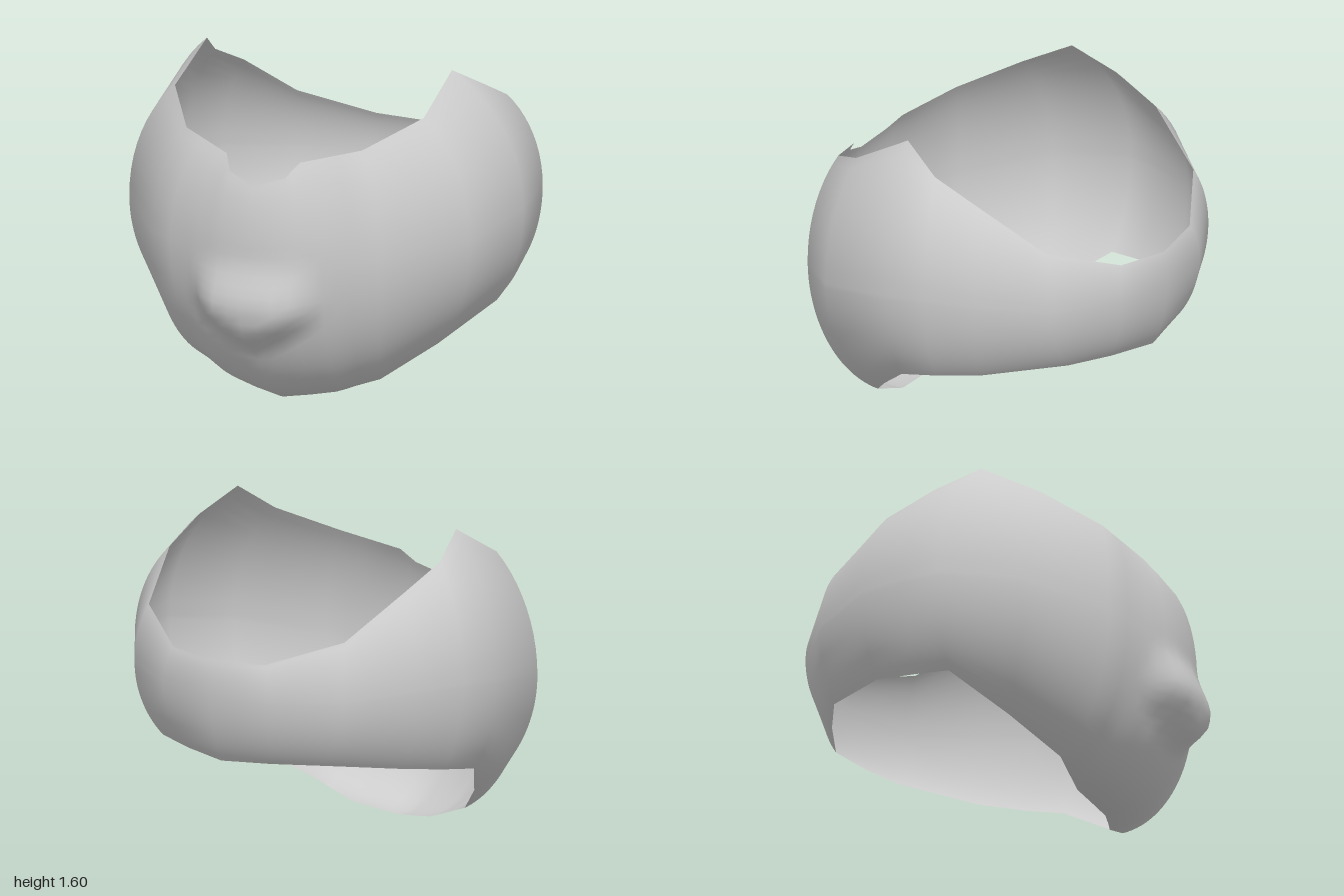
import * as THREE from 'three';

const { smoothstep, clamp, lerp } = THREE.MathUtils;

// Horizontal rails of the left half, running from front centre round to back centre
const topRim = [[0, 1.11, .84], [.15, 1.16, .8], [.2, 1.23, .74], [.48, 1.3, .63], [.68, 1.43, .38], [.67, 1.6, .08],
  [.74, 1.49, -.13], [.72, 1.385, -.38], [.6, 1.18, -.69], [.28, 1.06, -.9], [0, 1.04, -.95]];
const widestLine = [[0, .73, .905], [.16, .73, .89], [.31, .75, .84], [.62, .78, .71], [.93, .86, .38], [1, .93, -.03],
  [.95, .94, -.22], [.87, .94, -.46], [.64, .9, -.75], [.32, .89, -.93], [0, .89, -.97]];
const bottomRim = [[0, 0, .48], [.13, .02, .45], [.24, .04, .42], [.46, .12, .41], [.67, .28, .22], [.86, .465, -.02],
  [.82, .49, -.2], [.75, .525, -.42], [.48, .56, -.73], [.25, .55, -.82], [0, .54, -.885]];

const UPPER_ROWS = 10;
const LOWER_ROWS = 24;
const STRIDE = UPPER_ROWS + LOWER_ROWS + 1;

// Point on a rail at a fractional column position
function railPoint(rail, u) {
  const i = Math.min(Math.floor(u), rail.length - 2);
  return new THREE.Vector3(...rail[i]).lerp(new THREE.Vector3(...rail[i + 1]), u - i);
}

// Elliptical arc that leaves the widest line vertically and ends at a rim
function arcPoint(mid, rim, t, sweep) {
  const inward = (1 - Math.cos(sweep * t)) / (1 - Math.cos(sweep));
  const p = mid.clone().lerp(rim, inward);
  p.y = lerp(mid.y, rim.y, Math.sin(sweep * t) / Math.sin(sweep));
  return p;
}

// Raised pad on the front, with a steep, curved underside
function addFrontPad(p) {
  if (p.z < .4) return p;
  const x = Math.abs(p.x);
  const low = .27 + .18 * Math.pow(x / .33, 1.4);
  const rise = smoothstep(p.y, low, low + .13);
  const fade = 1 - smoothstep(p.y, .5, .77);
  p.z += .09 * rise * fade * (1 - smoothstep(x, .2, .36));
  return p;
}

// Vertical section from top rim to bottom rim; the chin curls under more than the sides
function section(u) {
  const [top, mid, bottom] = [topRim, widestLine, bottomRim].map(rail => railPoint(rail, u));
  const lowerSweep = Math.asin(lerp(.8, 1, clamp(mid.z / .8, 0, 1)));
  const points = [];
  for (let j = UPPER_ROWS; j > 0; j--) points.push(arcPoint(mid, top, j / UPPER_ROWS, Math.asin(.8)));
  for (let j = 0; j <= LOWER_ROWS; j++) points.push(arcPoint(mid, bottom, j / LOWER_ROWS, lowerSweep));
  return points.map(addFrontPad);
}

function shellGeometry() {
  // Extra columns only across the front pad
  const stops = [0, .5, 1, 1.5, 2, 2.17, 2.34, 2.6, 3, 4, 5, 6, 7, 8, 9, 10];
  const half = stops.map(section);
  const mirrored = half.slice(1, -1).reverse()
    .map(column => column.map(p => new THREE.Vector3(-p.x, p.y, p.z)));
  const columns = [...half, ...mirrored];
  const index = [];
  for (let i = 0; i < columns.length; i++) {
    const a = i * STRIDE;
    const b = ((i + 1) % columns.length) * STRIDE;
    for (let j = 0; j < STRIDE - 1; j++) {
      index.push(a + j, a + j + 1, b + j, b + j, a + j + 1, b + j + 1);
    }
  }
  const geometry = new THREE.BufferGeometry().setFromPoints(columns.flat());
  geometry.setIndex(index);
  geometry.computeVertexNormals();
  return geometry;
}

export function createModel() {
  const group = new THREE.Group();
  group.name = 'faceMask';
  const material = new THREE.MeshStandardMaterial({ color: 0xcccccc, side: THREE.DoubleSide });
  const shell = new THREE.Mesh(shellGeometry(), material);
  shell.name = 'maskShell';
  group.add(shell);
  return group;
}
